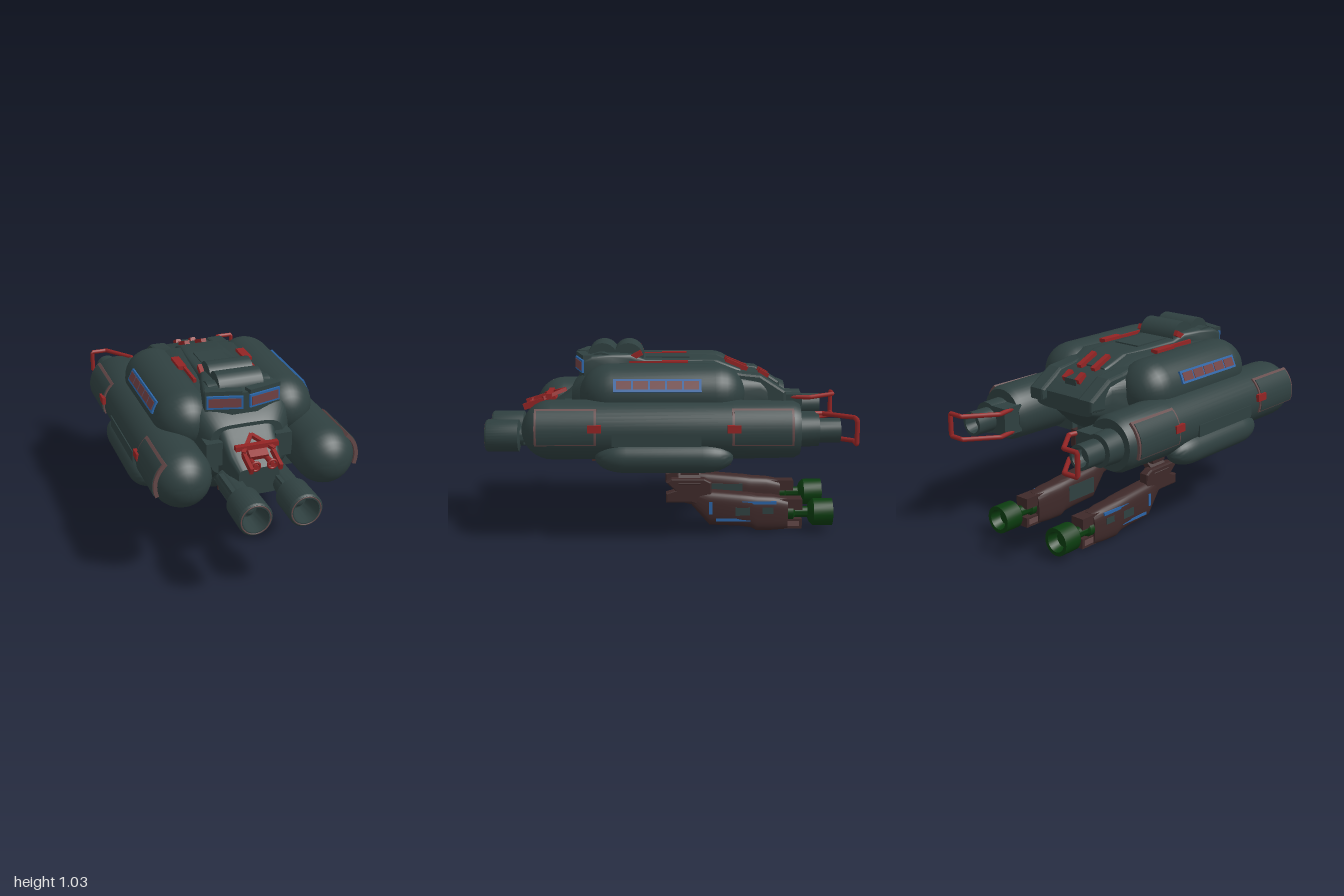
import * as THREE from 'three';
import { toCreasedNormals } from 'three/addons/utils/BufferGeometryUtils.js';

const paint = (name, color) => Object.assign(new THREE.MeshStandardMaterial({ color }), { name });

export function createModel() {
  const hull = paint('hullGrey', 0x2f4040);
  const brown = paint('weaponBrown', 0x3e2929);
  const red = paint('machineryRed', 0x922424);
  const blue = paint('frameBlue', 0x2a64a6);
  const green = paint('muzzleGreen', 0x0b3c0f);
  const glass = paint('windowMaroon', 0x704042);
  const trim = paint('panelTrim', 0x644848);
  const ship = new THREE.Group();
  ship.name = 'gunship';

  const add = (name, geo, mat, x = 0, y = 0, z = 0, rx = 0, ry = 0, rz = 0) => {
    const m = new THREE.Mesh(geo, mat);
    m.name = name;
    m.position.set(x, y, z);
    m.rotation.set(rx, ry, rz);
    ship.add(m);
    return m;
  };
  const box = (name, mat, size, pos, rot = [0, 0, 0]) =>
    add(name, new THREE.BoxGeometry(...size), mat, ...pos, ...rot);

  // Turned part along z; profile is [z, radius], back to front
  const turned = (profile, sides = 36) => toCreasedNormals(
    new THREE.LatheGeometry(profile.map(([z, r]) => new THREE.Vector2(r, z)), sides).rotateX(Math.PI / 2), 0.7);

  // Quarter-round end of a turned part, at the front (dir 1) or back (dir -1)
  const dome = (z, r, depth, dir) => Array.from({ length: 9 }, (_, i) => {
    const a = (dir > 0 ? i : 8 - i) / 8 * Math.PI / 2;
    return [z + dir * depth * Math.sin(a), Math.max(r * Math.cos(a), 0)];
  });

  // Skin over rounded sections [z, halfWidth, bottom, top], front to back
  const loft = (sections, power = 0.45, n = 40) => {
    const pos = [], idx = [];
    const soft = (v) => Math.sign(v) * Math.pow(Math.abs(v), power);
    sections.forEach(([z, w, y0, y1]) => {
      for (let j = 0; j < n; j++) {
        const t = j / n * Math.PI * 2;
        pos.push(w * soft(Math.cos(t)), (y0 + y1) / 2 + (y1 - y0) / 2 * soft(Math.sin(t)), z);
      }
    });
    const last = sections.length - 1, front = pos.length / 3, back = front + 1;
    for (const [z, , y0, y1] of [sections[0], sections[last]]) pos.push(0, (y0 + y1) / 2, z);
    for (let j = 0; j < n; j++) {
      const k = (j + 1) % n;
      for (let i = 0; i < last; i++) {
        const a = i * n + j, b = i * n + k;
        idx.push(a, a + n, b, b, a + n, b + n);
      }
      idx.push(front, j, k, back, last * n + k, last * n + j);
    }
    const g = new THREE.BufferGeometry();
    g.setAttribute('position', new THREE.Float32BufferAttribute(pos, 3));
    g.setIndex(idx);
    return toCreasedNormals(g, 0.6);
  };

  // Side profile of [z, y] points given thickness across x, with bevelled rims
  const slab = (points, width, bevel) => {
    const s = new THREE.Shape(points.map(([z, y]) => new THREE.Vector2(-z, y)));
    const depth = width - 2 * bevel;
    return new THREE.ExtrudeGeometry(s, { depth, bevelThickness: bevel, bevelSize: bevel, bevelOffset: -bevel, bevelSegments: 2 })
      .translate(0, 0, -depth / 2).rotateY(Math.PI / 2);
  };

  // Curved plate hugging a side pod
  const arcPlate = (s, r, a0, a1, depth) => {
    const [a, b] = s > 0 ? [a0, a1] : [Math.PI - a1, Math.PI - a0];
    const shape = new THREE.Shape();
    shape.absarc(0, 0, r, a, b, false);
    shape.absarc(0, 0, 0.145, b, a, true);
    return toCreasedNormals(new THREE.ExtrudeGeometry(shape, { depth, bevelEnabled: false }).translate(0, 0, -depth / 2), 0.5);
  };

  // Central body with a thin raised tail, belly, nose and cockpit spine
  add('centralHull', loft([[0.52, 0.2, 0.52, 0.8], [0.45, 0.26, 0.47, 0.88], [0.32, 0.29, 0.44, 0.925], [-0.25, 0.29, 0.44, 0.935],
    [-0.38, 0.26, 0.52, 0.88], [-0.5, 0.24, 0.63, 0.86], [-0.61, 0.2, 0.68, 0.77]]), hull);
  add('belly', loft([[0.43, 0.15, 0.42, 0.6], [0.36, 0.18, 0.36, 0.6], [0.28, 0.185, 0.34, 0.6], [0.1, 0.18, 0.34, 0.6],
    [0, 0.17, 0.39, 0.6], [-0.36, 0.15, 0.43, 0.6]], 0.35), hull);
  add('nose', loft([[0.7, 0.11, 0.48, 0.63], [0.63, 0.14, 0.45, 0.69], [0.55, 0.15, 0.44, 0.75], [0.5, 0.16, 0.44, 0.8],
    [0.42, 0.17, 0.44, 0.86]], 0.3), hull);
  add('cockpit', loft([[0.485, 0.07, 0.82, 0.955], [0.45, 0.205, 0.82, 0.955], [0.41, 0.205, 0.82, 0.975], [0.3, 0.18, 0.82, 0.98],
    [0.2, 0.15, 0.82, 0.975], [0.12, 0.14, 0.82, 0.945], [-0.1, 0.13, 0.82, 0.943], [-0.27, 0.12, 0.8, 0.94], [-0.4, 0.1, 0.8, 0.885]], 0.25), hull);
  for (const z of [0.355, 0.215])
    add('roofHump', new THREE.CylinderGeometry(0.085, 0.085, 0.24, 24), hull, 0, 0.945, z, 0, 0, Math.PI / 2);
  add('roofShoulder', new THREE.CylinderGeometry(0.08, 0.08, 0.34, 24), hull, 0, 0.905, 0.36, 0, 0, Math.PI / 2);
  box('roofPlate', hull, [0.16, 0.012, 0.24], [0, 0.944, 0.0]);
  box('tailSpine', hull, [0.08, 0.06, 0.16], [0, 0.83, -0.48], [-0.15, 0, 0]);

  // Red machinery on the nose
  box('noseBar', red, [0.23, 0.025, 0.03], [0, 0.735, 0.655]);
  box('noseCore', red, [0.1, 0.03, 0.08], [0, 0.705, 0.66], [0.5, 0, 0]);

  for (const s of [1, -1]) {
    // Upper shoulder lobe
    add('shoulderLobe', turned([...dome(-0.25, 0.16, 0.16, -1), ...dome(0.3, 0.16, 0.17, 1)]), hull, s * 0.275, 0.78, 0);
    add('rearShoulder', slab([[-0.3, 0.9], [-0.4, 0.88], [-0.5, 0.87], [-0.64, 0.78], [-0.64, 0.72], [-0.3, 0.68]], 0.1, 0.015), hull, s * 0.175);

    // Side pod with stepped rear exhaust
    add('sidePod', turned([[-0.69, 0], [-0.69, 0.135], [-0.66, 0.15], [-0.34, 0.156], ...dome(0.61, 0.158, 0.16, 1)], 44), hull, s * 0.39, 0.607, 0);
    add('podCollar', turned([[-0.79, 0], [-0.79, 0.085], [-0.68, 0.09]]), hull, s * 0.4, 0.605, 0);
    box('podRearBlock', hull, [0.12, 0.15, 0.12], [s * 0.32, 0.605, -0.73]);
    add('podExhaust', turned([[-0.84, 0], [-0.84, 0.045], [-0.905, 0.05], [-0.905, 0.065], [-0.78, 0.065]]), hull, s * 0.39, 0.6, 0);
    add('lowerPod', turned([...dome(-0.18, 0.082, 0.16, -1), ...dome(0.22, 0.082, 0.16, 1)]), hull, s * 0.487, 0.478, 0);
    box('podFairing', hull, [0.14, 0.12, 0.76], [s * 0.28, 0.52, 0.04]);

    // Outlined plates on the pod flank
    for (const [z, len] of [[0.53, 0.32], [-0.49, 0.32]]) {
      add('panelTrim', arcPlate(s, 0.165, -0.35, 0.9, len), trim, s * 0.39, 0.607, z);
      add('panelPlate', arcPlate(s, 0.169, -0.3, 0.8, len - 0.025), hull, s * 0.39, 0.607, z);
      box('panelClip', red, [0.02, 0.04, 0.07], [s * 0.553, 0.64, z > 0 ? 0.38 : -0.34]);
    }
    box('flankRib', hull, [0.02, 0.065, 0.46], [s * 0.542, 0.58, 0.06]);

    // Tilted strip of side windows
    const strip = new THREE.Group();
    strip.name = 'sideWindowStrip';
    strip.position.set(s * 0.424, 0.845, 0.055);
    strip.rotation.z = s * 0.42;
    strip.add(box('stripFrame', blue, [0.012, 0.07, 0.46], [0, 0, 0]));
    for (let i = 0; i < 5; i++) strip.add(box('stripPane', glass, [0.006, 0.046, 0.078], [s * 0.006, 0, -0.176 + i * 0.088]));
    ship.add(strip);

    // Cockpit windows
    const win = new THREE.Group();
    win.name = 'cockpitWindow';
    win.position.set(s * 0.108, 0.912, 0.48);
    win.rotation.y = s * 0.26;
    win.add(box('windowFrame', blue, [0.188, 0.07, 0.012], [0, 0, 0]));
    win.add(box('windowPane', glass, [0.166, 0.048, 0.006], [0, 0, 0.006]));
    ship.add(win);
    box('windowBrow', hull, [0.19, 0.022, 0.05], [s * 0.108, 0.962, 0.455], [0, s * 0.26, 0]);

    // Front cannon with hollow muzzle
    add('cannon', turned([[0.56, 0], [0.56, 0.055], [0.81, 0.055], [0.82, 0.088], [0.99, 0.09], [1, 0.082],
      [1, 0.068], [0.88, 0.05], [0.88, 0]]), hull, s * 0.132, 0.52, 0);
    box('cannonHousing', hull, [0.09, 0.09, 0.2], [s * 0.135, 0.525, 0.69]);
    add('cannonRing', new THREE.TorusGeometry(0.077, 0.005, 6, 32), trim, s * 0.132, 0.52, 0.997);
    add('cannonCore', new THREE.SphereGeometry(0.036, 16, 10), hull, s * 0.132, 0.52, 0.88);
    box('cheekBlock', hull, [0.09, 0.13, 0.12], [s * 0.19, 0.665, 0.5]);
    box('bellyLamp', brown, [0.035, 0.035, 0.02], [s * 0.105, 0.39, 0.41]);

    // Nose machinery
    add('noseRing', new THREE.TorusGeometry(0.023, 0.007, 8, 20), red, s * 0.045, 0.675, 0.76);
    add('noseBarrel', new THREE.CylinderGeometry(0.014, 0.014, 0.12, 12), red, s * 0.045, 0.675, 0.71, Math.PI / 2);
    box('noseStrut', red, [0.02, 0.02, 0.15], [s * 0.042, 0.738, 0.63], [0.3, s * 0.6, 0]);
    box('noseRail', red, [0.018, 0.035, 0.13], [s * 0.078, 0.69, 0.735], [0.3, 0, 0]);

    // Red fittings on the upper deck
    for (const [x, y, z, w, l, tilt] of [[0.19, 0.928, -0.04, 0.045, 0.14, 0], [0.178, 0.925, 0.1, 0.015, 0.22, 0], [0.128, 0.957, 0.185, 0.03, 0.1, 0.5],
      [0.05, 0.9, -0.38, 0.03, 0.13, -0.4], [0.045, 0.85, -0.53, 0.03, 0.06, -0.5]])
      box('deckFitting', red, [w, 0.03, l], [s * x, y, z], [tilt, 0, 0]);

    // Red tow loop behind the pod
    const half = [[0.28, -0.69], [0.25, -0.83], [0.37, -0.987], [0.46, -0.987]];
    const pts = [...half.map(([x, z]) => [x, 0.665, z]), ...half.reverse().map(([x, z]) => [x, 0.54, z])]
      .map(([x, y, z]) => new THREE.Vector3(s * x, y, z));
    const path = new THREE.CurvePath();
    for (let i = 1; i < pts.length; i++) path.add(new THREE.LineCurve3(pts[i - 1], pts[i]));
    add('towLoop', new THREE.TubeGeometry(path, 90, 0.013, 8), red);

    // Underslung gun: arms, brace, mount, rounded body and forked tail
    box('gunArm', brown, [0.042, 0.18, 0.1], [s * 0.212, 0.41, -0.12]);
    box('gunArmRear', brown, [0.035, 0.1, 0.05], [s * 0.2, 0.42, -0.32]);
    box('gunBrace', brown, [0.16, 0.035, 0.12], [s * 0.185, 0.315, -0.12], [0, 0, s * -0.75]);
    add('gunMount', slab([[0.01, 0.165], [0.01, 0.22], [-0.04, 0.235], [0.01, 0.28], [-0.02, 0.3],
      [-0.2, 0.3], [-0.24, 0.28], [-0.24, 0.13], [-0.13, 0.165]], 0.055, 0.008), brown, s * 0.225);
    add('gunBody', loft([[-0.06, 0.025, 0.165, 0.22], [-0.13, 0.04, 0.15, 0.23], [-0.23, 0.058, 0.035, 0.23], [-0.4, 0.062, 0.028, 0.215],
      [-0.46, 0.062, 0.02, 0.21], [-0.49, 0.06, 0.002, 0.205], [-0.58, 0.058, 0.004, 0.2], [-0.66, 0.05, 0.01, 0.185]], 0.6), brown, s * 0.207);
    box('forkUpper', brown, [0.08, 0.06, 0.16], [s * 0.207, 0.153, -0.66]);
    box('forkLower', brown, [0.07, 0.055, 0.16], [s * 0.207, 0.043, -0.66]);
    box('forkPatch', trim, [0.076, 0.03, 0.07], [s * 0.207, 0.045, -0.69]);

    // Blue stripes outside, grey plates on both flanks
    box('gunStripe', blue, [0.02, 0.016, 0.19], [s * 0.256, 0.168, -0.5]);
    box('gunStripe', blue, [0.02, 0.016, 0.19], [s * 0.257, 0.072, -0.36]);
    box('gunStripe', blue, [0.02, 0.07, 0.018], [s * 0.257, 0.14, -0.235]);
    box('gunPatch', hull, [0.01, 0.045, 0.08], [s * 0.265, 0.12, -0.41]);
    box('gunPatch', hull, [0.01, 0.035, 0.06], [s * 0.262, 0.125, -0.55]);
    box('innerPlate', hull, [0.02, 0.09, 0.2], [s * 0.155, 0.125, -0.34]);
    add('gunMuzzle', turned([[-0.85, 0], [-0.85, 0.045], [-0.905, 0.055], [-0.905, 0.075], [-0.8, 0.075], [-0.78, 0.055],
      [-0.77, 0.03], [-0.7, 0.03], [-0.69, 0.042], [-0.6, 0.042]], 24), green, s * 0.215, 0.105, 0);
  }
  return ship;
}
